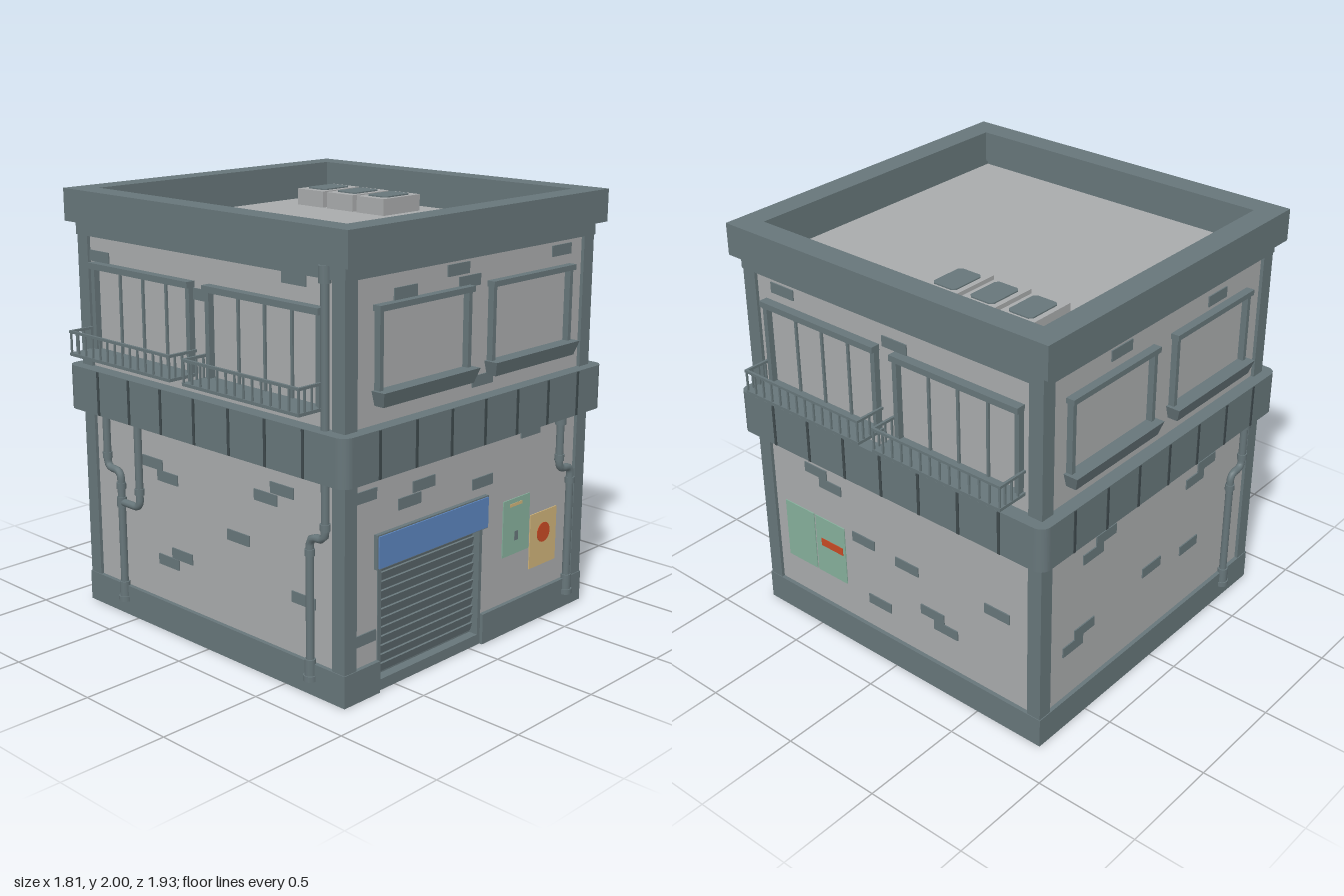
import * as THREE from 'three';

const mat = (name, color) => {
  const m = new THREE.MeshStandardMaterial({ color });
  m.name = name;
  return m;
};

export function createModel() {
  const wall = mat('concrete', 0xa9abac), trim = mat('slateTrim', 0x67767a), dark = mat('darkSeam', 0x3e494c);
  const blue = mat('awningBlue', 0x5b84bd), green = mat('posterGreen', 0x86b09c);
  const tan = mat('posterTan', 0xcfb37a), red = mat('posterRed', 0xc84a24);

  const root = new THREE.Group();
  root.name = 'building';
  const body = new THREE.Group();
  body.name = 'body';
  body.position.x = -0.005;
  root.add(body);

  const add = (parent, name, geo, m) => {
    const mesh = new THREE.Mesh(geo, m);
    mesh.name = name;
    parent.add(mesh);
    return mesh;
  };
  // Box given by its minimum and maximum corners
  const box = (parent, name, m, x0, x1, y0, y1, z0, z1) => {
    const mesh = add(parent, name, new THREE.BoxGeometry(x1 - x0, y1 - y0, z1 - z0), m);
    mesh.position.set((x0 + x1) / 2, (y0 + y1) / 2, (z0 + z1) / 2);
    return mesh;
  };
  // Shape in plan, raised from y0 to y1
  const raise = (name, m, shape, y0, y1, parent = body) => {
    const geo = new THREE.ExtrudeGeometry(shape, { depth: y1 - y0, bevelEnabled: false, curveSegments: 6 });
    geo.rotateX(-Math.PI / 2);
    geo.translate(0, y0, 0);
    return add(parent, name, geo, m);
  };
  const poly = pts => new THREE.Shape(pts.map(p => new THREE.Vector2(...p)));
  const rect = (w, d) => [[-w, -d], [w, -d], [w, d], [-w, d]];
  const ring = (w, d, t) => {
    const s = poly(rect(w, d));
    s.holes.push(poly(rect(w - t, d - t)));
    return s;
  };
  // Ring left open for the shutter on the +x side
  const openRing = (w, d, t, a, b) => poly([[w, a], [w, -d], [-w, -d], [-w, d], [w, d], [w, b],
    [w - t, b], [w - t, d - t], [t - w, d - t], [t - w, t - d], [w - t, t - d], [w - t, a]]);

  const WX = 0.835, WZ = 0.805, D0 = -0.61, D1 = 0.075;

  // Shell of the building, hollow on the ground floor
  raise('plinth', trim, openRing(0.855, 0.825, 0.068, D0, D1), 0, 0.145);
  raise('lowerWallBesideDoor', wall, openRing(WX, WZ, 0.05, D0, D1), 0.005, 0.56);
  raise('lowerWall', wall, ring(WX, WZ, 0.05), 0.56, 0.97);
  box(body, 'upperWall', wall, -WX, WX, 1.18, 1.83, -WZ, WZ);
  for (const sx of [-1, 1]) for (const sz of [-1, 1]) {
    const post = add(body, 'cornerPost', new THREE.BoxGeometry(0.072, 1.785, 0.072), trim);
    post.position.set(sx * 0.815, 0.8975, sz * 0.785);
  }
  raise('cornice', trim, ring(0.855, 0.825, 0.07), 1.79, 1.85);
  raise('parapet', trim, ring(0.8975, 0.855, 0.116), 1.85, 2);

  // Band between the floors, with rounded corners
  const bw = 0.9, bd = 0.875, r = 0.05, band = new THREE.Shape();
  band.absarc(bw - r, bd - r, r, 0, Math.PI / 2);
  band.absarc(r - bw, bd - r, r, Math.PI / 2, Math.PI);
  band.absarc(r - bw, r - bd, r, Math.PI, Math.PI * 1.5);
  band.absarc(bw - r, r - bd, r, Math.PI * 1.5, Math.PI * 2);
  raise('floorBand', trim, band, 0.97, 1.18);

  // Roof units
  for (let i = 0; i < 3; i++) {
    const unit = new THREE.Group();
    unit.name = 'roofUnit';
    unit.position.set(-0.535 + i * 0.203, 0, -0.5);
    body.add(unit);
    box(unit, 'unitCase', wall, -0.088, 0.088, 1.83, 1.91, -0.13, 0.13);
    const a = 0.063, b = 0.09, c = 0.015;
    raise('unitGrille', trim, poly([[c - a, -b], [a - c, -b], [a, c - b], [a, b - c], [a - c, b], [c - a, b], [-a, b - c], [-a, c - b]]),
      1.91, 1.916, unit);
  }

  // One group per side: local x runs along the wall, local z points out of it
  const side = (name, turn, wallZ, bandZ) => {
    const g = new THREE.Group();
    g.name = name;
    g.rotation.y = turn;
    g.userData.w = wallZ;
    body.add(g);
    for (let i = -3; i <= 3; i++) {
      box(g, 'bandSeam', dark, i * 0.223 - 0.007, i * 0.223 + 0.007, 0.972, 1.178, bandZ - 0.005, bandZ + 0.004);
    }
    return g;
  };
  const front = side('frontSide', 0, WZ, bd), back = side('backSide', Math.PI, WZ, bd);
  const right = side('rightSide', Math.PI / 2, WX, bw), left = side('leftSide', -Math.PI / 2, WX, bw);

  const bricks = (g, list) => list.forEach(([u, y]) =>
    box(g, 'brick', trim, u - 0.07, u + 0.07, y - 0.025, y + 0.025, g.userData.w - 0.01, g.userData.w + 0.006));
  bricks(front, [[-0.71, 1.70], [-0.02, 1.62], [0.555, 1.765], [-0.375, 0.795], [-0.27, 0.745], [0.375, 0.805],
    [0.475, 0.86], [0.2, 0.58], [-0.275, 0.34], [-0.18, 0.392], [0.6, 0.405]]);
  bricks(right, [[-0.455, 1.70], [-0.125, 1.75], [-0.05, 1.69], [0.595, 1.745], [0.05, 1.245], [-0.69, 0.89],
    [-0.325, 0.86], [-0.415, 0.805], [0.41, 0.94], [0.07, 0.775], [-0.69, 0.265]]);
  bricks(back, [[-0.62, 1.74], [0.05, 1.70], [-0.49, 0.87], [-0.4, 0.82], [-0.2, 0.61], [0.07, 0.59], [0.22, 0.4],
    [0.3, 0.35], [-0.11, 0.3], [0.6, 0.59]]);
  bricks(left, [[-0.45, 0.82], [-0.36, 0.87], [0.32, 0.82], [0.41, 0.87], [-0.58, 0.4], [-0.5, 0.45], [0.0, 0.5],
    [0.3, 0.46], [-0.3, 1.74], [0.4, 1.72]]);

  // Wide window with a railed balcony
  const balcony = (g, c) => {
    const w = g.userData.w, out = 0.963;
    box(g, 'windowLintel', trim, c - 0.345, c + 0.345, 1.647, 1.675, w - 0.01, w + 0.045);
    for (const s of [-1, 1]) box(g, 'windowJamb', trim, c + s * 0.33 - 0.012, c + s * 0.33 + 0.012, 1.26, 1.65, w - 0.01, w + 0.03);
    for (let i = -1; i <= 1; i++) box(g, 'windowMullion', trim, c + i * 0.16 - 0.006, c + i * 0.16 + 0.006, 1.26, 1.65, w - 0.01, w + 0.01);
    box(g, 'balconyFloor', trim, c - 0.352, c + 0.352, 1.258, 1.272, w - 0.01, out);
    box(g, 'frontRail', trim, c - 0.352, c + 0.352, 1.364, 1.376, out - 0.012, out);
    for (let i = 0; i <= 13; i++) {
      const u = c - 0.345 + i * 0.69 / 13;
      box(g, 'baluster', trim, u - 0.004, u + 0.004, 1.27, 1.366, out - 0.01, out - 0.002);
    }
    for (const s of [-1, 1]) {
      const u = c + s * 0.346;
      box(g, 'sideRail', trim, u - 0.006, u + 0.006, 1.364, 1.376, w, out);
      for (const z of [0.845, 0.885, 0.925]) box(g, 'sideBaluster', trim, u - 0.004, u + 0.004, 1.27, 1.366, z - 0.004, z + 0.004);
    }
  };
  for (const [g, s] of [[front, 1], [back, -1]]) {
    balcony(g, -0.4 * s);
    balcony(g, 0.385 * s);
  }

  // Framed window over a tapered sill
  const sillWindow = (g, c) => {
    const w = g.userData.w;
    box(g, 'sideLintel', trim, c - 0.295, c + 0.295, 1.65, 1.675, w - 0.01, w + 0.04);
    for (const s of [-1, 1]) box(g, 'sideJamb', trim, c + s * 0.275 - 0.011, c + s * 0.275 + 0.011, 1.31, 1.652, w - 0.01, w + 0.03);
    const sill = box(g, 'windowSill', trim, c - 0.302, c + 0.302, 1.26, 1.325, w - 0.01, 0.905);
    const p = sill.geometry.attributes.position;
    for (let i = 0; i < p.count; i++) if (p.getY(i) < 0) {
      p.setX(i, p.getX(i) * 0.94);
      if (p.getZ(i) > 0) p.setZ(i, p.getZ(i) - 0.02);
    }
    sill.geometry.computeVertexNormals();
  };
  for (const [g, s] of [[right, 1], [left, -1]]) {
    sillWindow(g, -0.35 * s);
    sillWindow(g, 0.365 * s);
  }

  // Drainpipe along a path with rounded corners; collars are [x, y, radius, height]
  const pipe = (g, pts, collars) => {
    const z = g.userData.w + 0.02, v = pts.map(([x, y]) => new THREE.Vector3(x, y, z));
    const path = new THREE.CurvePath();
    let from = v[0];
    for (let i = 1; i < v.length - 1; i++) {
      const toward = q => v[i].clone().add(q.clone().sub(v[i]).setLength(Math.min(0.04, q.distanceTo(v[i]) * 0.48)));
      const a = toward(v[i - 1]), b = toward(v[i + 1]);
      path.add(new THREE.LineCurve3(from, a));
      path.add(new THREE.QuadraticBezierCurve3(a, v[i], b));
      from = b;
    }
    path.add(new THREE.LineCurve3(from, v[v.length - 1]));
    add(g, 'drainpipe', new THREE.TubeGeometry(path, 64, 0.018, 10), trim);
    for (const [x, y, rad, h] of collars) {
      add(g, 'pipeCollar', new THREE.CylinderGeometry(rad, rad, h, 12), trim).position.set(x, y, z);
    }
  };
  const foot = x => [[x, 0.12, 0.025, 0.09], [x, 0.08, 0.031, 0.025], [x, 0.64, 0.023, 0.03]];
  pipe(front, [[0.745, 1.85], [0.745, 0.71], [0.655, 0.71], [0.655, 0.07]], [[0.745, 1.81, 0.027, 0.07], [0.745, 0.77, 0.023, 0.03], ...foot(0.655)]);
  pipe(front, [[-0.685, 0.98], [-0.685, 0.71], [-0.59, 0.71], [-0.59, 0.07]], [[-0.685, 0.77, 0.023, 0.03], ...foot(-0.59)]);
  pipe(front, [[-0.455, 0.98], [-0.455, 0.56], [-0.59, 0.56]], [[-0.455, 0.64, 0.023, 0.03], [-0.59, 0.56, 0.023, 0.05]]);
  pipe(right, [[0.615, 0.98], [0.615, 0.71], [0.705, 0.71], [0.705, 0.07]], [[0.615, 0.95, 0.027, 0.04], [0.615, 0.77, 0.023, 0.03], ...foot(0.705)]);
  pipe(left, [[0.7, 0.98], [0.7, 0.71], [0.61, 0.71], [0.61, 0.07]], [[0.7, 0.95, 0.027, 0.04], [0.7, 0.77, 0.023, 0.03], ...foot(0.61)]);

  // Roller shutter with step, frame and blue fascia
  box(right, 'doorStep', trim, D0, D1, 0, 0.05, 0.775, 0.84);
  box(right, 'shutterBacking', trim, D0, D1, 0.05, 0.56, 0.788, 0.795);
  for (const u of [D0, D1 - 0.02]) box(right, 'doorJamb', trim, u, u + 0.02, 0.05, 0.56, 0.79, 0.84);
  for (let i = 0; i < 12; i++) {
    const slat = box(right, 'shutterSlat', trim, D0 + 0.02, D1 - 0.02, 0.06, 0.103, 0.798, 0.806);
    slat.position.y += i * 0.0415;
    slat.rotation.x = 0.3;
  }
  box(right, 'fasciaFrame', trim, -0.63, 0.095, 0.557, 0.71, WX - 0.02, 0.855);
  box(right, 'fasciaPanel', blue, -0.624, 0.089, 0.563, 0.704, 0.85, 0.861);

  // Posters
  const plate = (g, name, m, x0, x1, y0, y1, lift = 0.005) => box(g, name, m, x0, x1, y0, y1, g.userData.w - 0.001, g.userData.w + lift);
  plate(right, 'greenPoster', green, 0.225, 0.42, 0.37, 0.64);
  plate(right, 'greenPosterStrip', tan, 0.27, 0.36, 0.603, 0.618, 0.007);
  plate(right, 'greenPosterMark', trim, 0.31, 0.335, 0.435, 0.48, 0.007);
  plate(right, 'tanPoster', tan, 0.43, 0.63, 0.26, 0.525);
  const disc = add(right, 'redDisc', new THREE.CylinderGeometry(0.048, 0.048, 0.006, 20), red);
  disc.rotation.x = Math.PI / 2;
  disc.position.set(0.53, 0.42, WX + 0.005);
  plate(back, 'backPosterOuter', green, -0.715, -0.525, 0.31, 0.62);
  plate(back, 'backPosterInner', green, -0.515, -0.325, 0.31, 0.62);
  plate(back, 'backPosterStripe', red, -0.48, -0.34, 0.465, 0.505, 0.008);

  return root;
}
